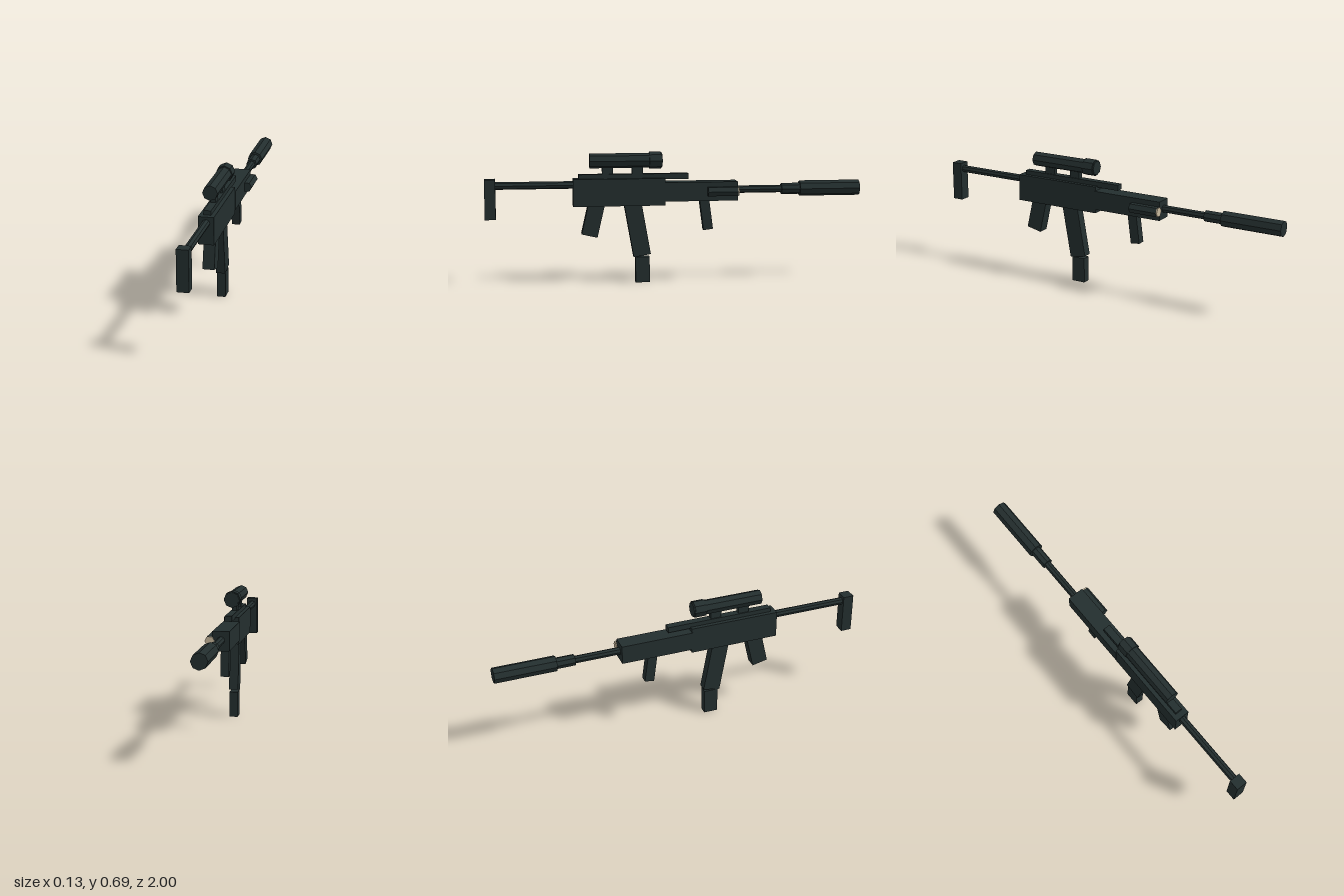
import * as THREE from 'three';

const CX = -0.02; // shared centre plane of the body

export function createModel() {
  const model = new THREE.Group();
  const gunmetal = new THREE.MeshStandardMaterial({ color: 0x232e2e, flatShading: true });
  gunmetal.name = 'dark gunmetal';
  const glass = new THREE.MeshStandardMaterial({ color: 0xc8b89c, flatShading: true });
  glass.name = 'warm lamp glass';

  const add = (name, geometry, x, y, z, material = gunmetal) => {
    const mesh = new THREE.Mesh(geometry, material);
    mesh.name = name;
    mesh.position.set(x, y, z);
    model.add(mesh);
    return mesh;
  };
  // Upright block spanning y0..y1 and z0..z1
  const block = (name, width, y0, y1, z0, z1) =>
    add(name, new THREE.BoxGeometry(width, y1 - y0, z1 - z0), CX, (y0 + y1) / 2, (z0 + z1) / 2);
  // Block leaning forward or back by some degrees
  const leaning = (name, width, height, depth, y, z, degrees) => {
    const mesh = add(name, new THREE.BoxGeometry(width, height, depth), CX, y, z);
    mesh.rotation.x = THREE.MathUtils.degToRad(degrees);
  };
  // Low-poly rod along z
  const rod = (name, radius, y, z0, z1, x = CX, sides = 8, material = gunmetal) => {
    const geometry = new THREE.CylinderGeometry(radius, radius, z1 - z0, sides, 1, false, Math.PI / 2);
    geometry.rotateX(Math.PI / 2);
    add(name, geometry, x, y, (z0 + z1) / 2, material);
  };

  // Stock
  block('buttPlate', 0.06, 0.35, 0.56, 0.943, 1);
  rod('stockTube', 0.02, 0.525, 0.53, 0.95);

  // Body
  block('receiver', 0.08, 0.413, 0.557, 0.055, 0.54);
  block('handguard', 0.088, 0.434, 0.535, -0.332, 0.06);
  block('topRail', 0.038, 0.55, 0.58, -0.07, 0.51);

  // Grips and magazine
  leaning('rearGrip', 0.06, 0.2, 0.085, 0.353, 0.433, -13);
  leaning('magazineUpper', 0.049, 0.32, 0.092, 0.302, 0.204, 10);
  block('magazineLower', 0.045, 0, 0.137, 0.137, 0.212);
  leaning('foreGrip', 0.044, 0.2, 0.051, 0.377, -0.1645, 7.5);

  // Barrel
  rod('barrel', 0.02, 0.489, -0.6, -0.32);
  rod('barrelCollar', 0.03, 0.489, -0.69, -0.575);
  rod('muzzleTube', 0.0415, 0.49, -1, -0.674);

  // Scope
  for (const z of [0.357, 0.2]) block('scopeMount', 0.026, 0.57, 0.63, z - 0.029, z + 0.029);
  rod('scopeTube', 0.039, 0.65, 0.068, 0.452);
  rod('scopeRing', 0.045, 0.65, 0.075, 0.137);

  // Side lamp
  rod('lampBody', 0.027, 0.485, -0.33, -0.17, 0.037, 6);
  rod('lampGlass', 0.026, 0.485, -0.336, -0.33, 0.037, 6, glass);

  return model;
}
